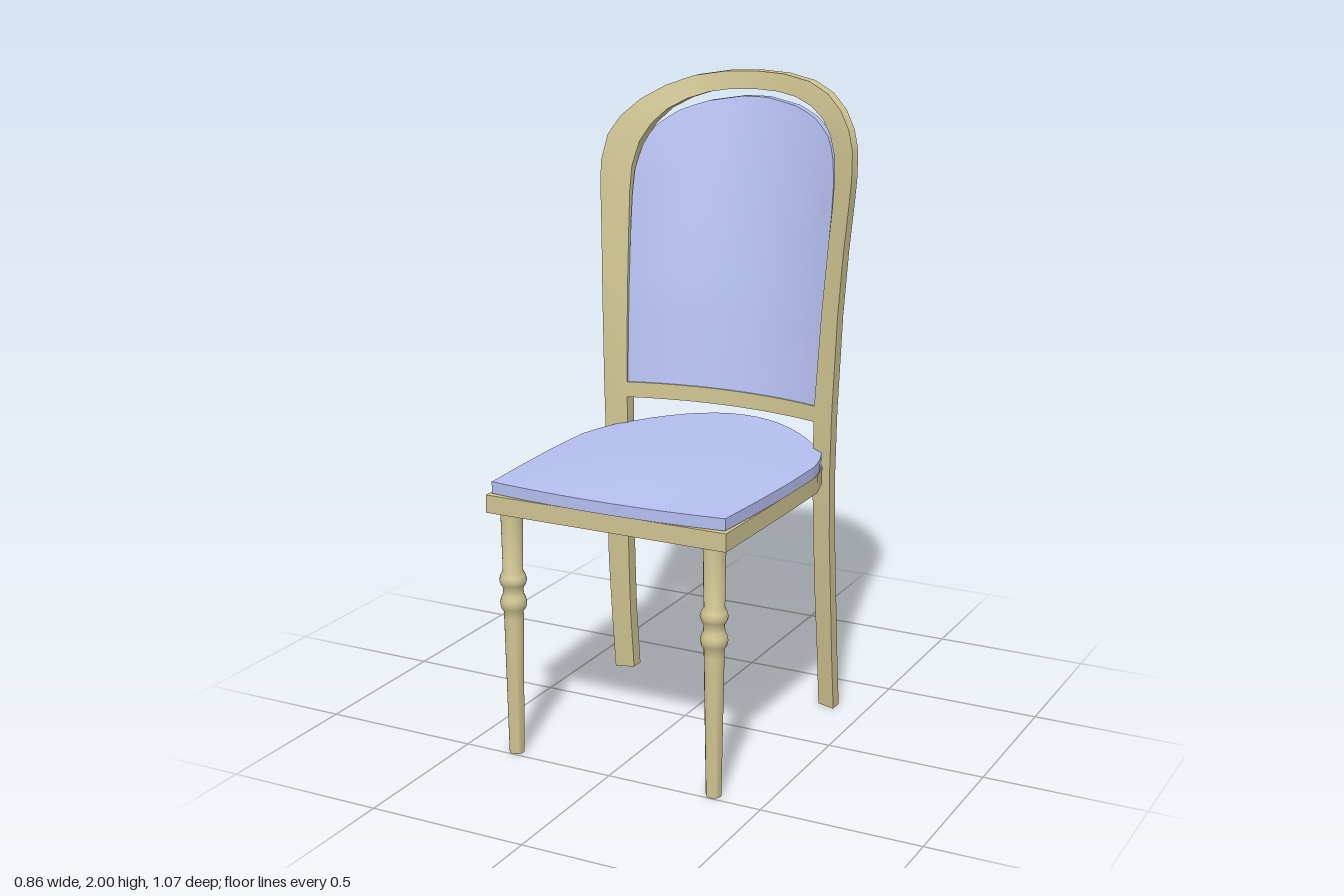
import * as THREE from 'three';
import { toCreasedNormals } from 'three/addons/utils/BufferGeometryUtils.js';

const wood = new THREE.MeshStandardMaterial({ color: 0xcfc491 });
const fabric = new THREE.MeshStandardMaterial({ color: 0xb4bff0 });

// Linear lookup in a table of [key, value] pairs
function lookup(table, k) {
  for (let i = 1; i < table.length; i++) {
    const [a, p] = table[i - 1], [b, q] = table[i];
    if (k <= b) return p + (q - p) * Math.max(0, (k - a) / (b - a));
  }
  return table[table.length - 1][1];
}

// Front surface of the back: z at the sides and at the centre line, by height
const sideZ = [[0, -0.255], [0.2, -0.232], [0.4, -0.214], [0.6, -0.2], [0.8, -0.195], [1, -0.195],
  [1.3, -0.203], [1.5, -0.222], [1.7, -0.25], [1.8, -0.272], [1.9, -0.295], [2, -0.34]];
const centreZ = [[0, -0.335], [0.4, -0.298], [0.8, -0.283], [1, -0.283], [1.3, -0.342],
  [1.6, -0.41], [1.92, -0.482], [2, -0.492]];
function backZ(x, y) {
  const t = (x / 0.43) ** 2;
  return lookup(sideZ, y) * t + lookup(centreZ, y) * (1 - t);
}

function add(group, name, geometry, material, crease = 0.6) {
  const mesh = new THREE.Mesh(toCreasedNormals(geometry, crease), material);
  mesh.name = name;
  group.add(mesh);
  return mesh;
}

// Move each vertex of a geometry by a rule
function warp(geometry, rule) {
  const p = geometry.attributes.position;
  for (let i = 0; i < p.count; i++) p.setXYZ(i, ...rule(p.getX(i), p.getY(i), p.getZ(i)));
  return geometry;
}

// Rear legs, posts and arch as one sweep of a four-cornered section
function backFrame() {
  // outer x, outer y, inner x, inner y
  const half = [
    [0.4, 0, 0.34, 0], [0.4, 0.2, 0.34, 0.2], [0.4, 0.4, 0.336, 0.4], [0.397, 0.6, 0.332, 0.6],
    [0.396, 0.8, 0.328, 0.8], [0.4, 1, 0.33, 1], [0.409, 1.3, 0.339, 1.3], [0.418, 1.5, 0.346, 1.5],
    [0.428, 1.65, 0.351, 1.62], [0.43, 1.72, 0.35, 1.7], [0.42, 1.8, 0.337, 1.775],
    [0.392, 1.857, 0.31, 1.83], [0.345, 1.908, 0.27, 1.875], [0.28, 1.95, 0.215, 1.908],
    [0.2, 1.98, 0.15, 1.93], [0.1, 1.996, 0.08, 1.941], [0, 2, 0, 1.944]];
  const mirrored = half.slice(0, -1).reverse().map(([a, b, c, d]) => [-a, b, -c, d]);
  const stations = [...half, ...mirrored];
  const positions = [], index = [], depth = 0.045;
  for (const [ox, oy, ix, iy] of stations) {
    const oz = backZ(ox, oy), iz = backZ(ix, iy);
    positions.push(ox, oy, oz, ix, iy, iz, ix, iy, iz - depth, ox, oy, oz - depth);
  }
  for (let i = 0; i < stations.length - 1; i++) {
    for (let j = 0; j < 4; j++) {
      const k = (j + 1) % 4, a = i * 4, b = a + 4;
      index.push(a + j, b + j, b + k, a + j, b + k, a + k);
    }
  }
  const e = (stations.length - 1) * 4;
  index.push(0, 1, 2, 0, 2, 3, e, e + 2, e + 1, e, e + 3, e + 2);
  const g = new THREE.BufferGeometry();
  g.setAttribute('position', new THREE.Float32BufferAttribute(positions, 3));
  g.setIndex(index);
  return g;
}

// Upholstered panel, following the curve of the back
function backPanel() {
  const width = [[1, 0.33], [1.3, 0.337], [1.5, 0.343], [1.62, 0.346], [1.7, 0.343], [1.78, 0.325],
    [1.83, 0.295], [1.87, 0.24], [1.9, 0.165], [1.92, 0.04]];
  return warp(new THREE.BoxGeometry(2, 1, 1, 16, 24, 1), (u, v, w) => {
    const y = 1 + 0.92 * Math.sin((v + 0.5) * Math.PI / 2);
    const x = u * lookup(width, y);
    return [x, y, backZ(x, y) - (w > 0 ? 0.006 : 0.036)];
  });
}

function backRail() {
  return warp(new THREE.BoxGeometry(0.67, 0.05, 1, 14, 1, 1), (x, y, w) => {
    return [x, y + 0.985, backZ(x, y + 0.985) - (w > 0 ? 0 : 0.043)];
  });
}

// Domed cushion: bowed front, rounded rear
function cushion() {
  const width = [[0, 0.385], [0.25, 0.397], [0.55, 0.406], [0.8, 0.406], [0.9, 0.392], [1, 0.368]];
  return warp(new THREE.BoxGeometry(2, 1, 1, 16, 1, 20), (u, h, d) => {
    const v = 0.5 - d;
    const z = (0.53 - 0.025 * u * u) * (1 - v) + (-0.425 + 0.215 * u * u) * v;
    const rise = 0.026 * (1 - u * u) * Math.sin(Math.min(1, v / 0.6) * Math.PI / 2);
    return [u * lookup(width, v), h > 0 ? 0.868 + rise : 0.832, z];
  });
}

// Seat frame: straight front and sides, arc at the rear
function seatRim(inset) {
  const pts = [[0.396, 0.522], [0.402, 0.1], [0.402, -0.1], [0.375, -0.2]];
  for (let i = 1; i < 16; i++) {
    const u = 1 - i / 8;
    pts.push([0.375 * u, -0.425 + 0.225 * u * u]);
  }
  pts.push([-0.375, -0.2], [-0.402, -0.1], [-0.402, 0.1], [-0.396, 0.522]);
  const sx = 1 - inset / 0.4, sz = 1 - inset / 0.47;
  return pts.map(([x, z]) => new THREE.Vector2(x * sx, -(0.05 + (z - 0.05) * sz)));
}

function seatFrame() {
  const shape = new THREE.Shape(seatRim(0));
  shape.holes.push(new THREE.Path(seatRim(0.035)));
  return new THREE.ExtrudeGeometry(shape, { depth: 0.055, bevelEnabled: false })
    .rotateX(-Math.PI / 2).translate(0, 0.775, 0);
}

// Turned front leg with two beads
function frontLeg() {
  const profile = [[0, 0], [0.023, 0], [0.03, 0.44], [0.03, 0.46], [0.038, 0.472], [0.041, 0.488],
    [0.038, 0.502], [0.032, 0.515], [0.031, 0.535], [0.038, 0.547], [0.042, 0.56], [0.038, 0.575],
    [0.031, 0.588], [0.034, 0.79], [0, 0.79]];
  return new THREE.LatheGeometry(profile.map(([r, y]) => new THREE.Vector2(r, y)), 16);
}

export function createModel() {
  const chair = new THREE.Group();
  chair.name = 'diningChair';
  add(chair, 'backFrame', backFrame(), wood);
  add(chair, 'backRail', backRail(), wood);
  add(chair, 'backPanel', backPanel(), fabric);
  add(chair, 'seatFrame', seatFrame(), wood);
  add(chair, 'seatCushion', cushion(), fabric);
  for (const [side, name] of [[1, 'leftFrontLeg'], [-1, 'rightFrontLeg']]) {
    add(chair, name, frontLeg(), wood, 0.9).position.set(side * 0.337, 0, 0.475);
  }
  return chair;
}
